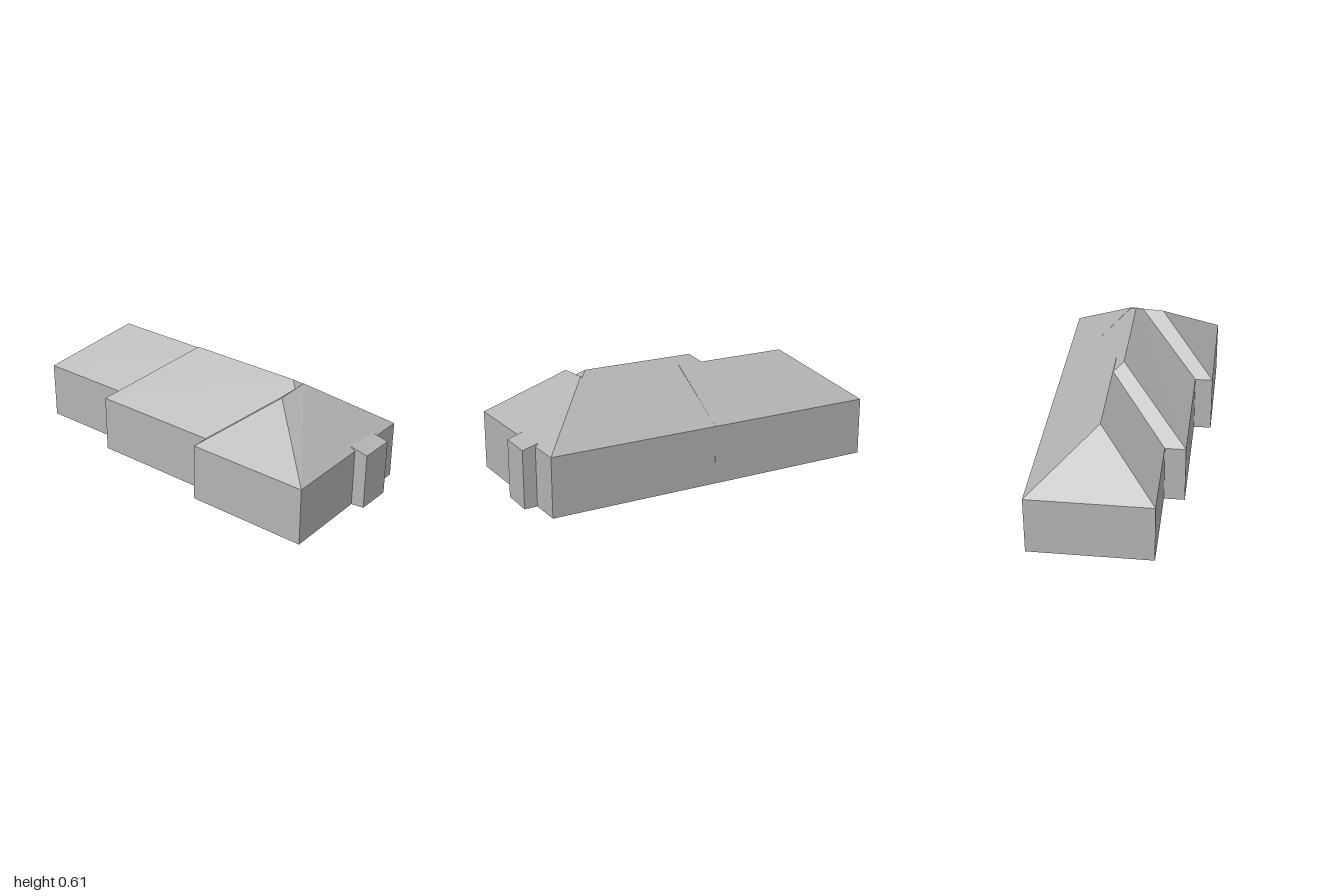
import * as THREE from 'three';

const EAVES = 0.317;
const wallGrey = new THREE.MeshStandardMaterial({ color: 0xb4b4b4, flatShading: true });
wallGrey.name = 'plain grey';

// Walled block with a hipped roof. Corners [x, z] run counter-clockwise from above;
// ridge point 0 belongs to the end between corners 3 and 0, point 1 to the end between 1 and 2.
function hippedBlock(name, corners, ridge, eaves = EAVES) {
  const low = corners.map(([x, z]) => [x, 0, z]);
  const top = corners.map(([x, z]) => [x, eaves, z]);
  const [r0, r1] = ridge;
  const pos = [];
  const tri = (a, b, c) => pos.push(...a, ...b, ...c);
  const quad = (a, b, c, d) => { tri(a, b, c); tri(a, c, d); };

  // walls and underside
  for (let i = 0; i < 4; i++) {
    const j = (i + 1) % 4;
    quad(low[i], low[j], top[j], top[i]);
  }
  quad(low[3], low[2], low[1], low[0]);

  // roof slopes and hip ends
  quad(top[0], top[1], r1, r0);
  tri(top[1], top[2], r1);
  quad(top[2], top[3], r0, r1);
  tri(top[3], top[0], r0);

  const geo = new THREE.BufferGeometry();
  geo.setAttribute('position', new THREE.Float32BufferAttribute(pos, 3));
  geo.computeVertexNormals();
  const mesh = new THREE.Mesh(geo, wallGrey);
  mesh.name = name;
  return mesh;
}

export function createModel() {
  const house = new THREE.Group();
  house.name = 'house';

  // low wing on the -x side, running into the middle block
  house.add(hippedBlock('lowWing',
    [[-1, 0.16], [0, 0.218], [0, -0.43], [-0.96, -0.485]],
    [[-0.66, 0.57, -0.125], [0, 0.57, -0.088]]));

  // long middle block with the highest ridge
  house.add(hippedBlock('middleBlock',
    [[-0.49, 0.30], [0.895, 0.385], [0.94, -0.375], [-0.445, -0.455]],
    [[-0.1, 0.607, -0.04], [0.53, 0.607, -0.005]]));

  // cross wing on the +x side, with its ridge running front to back
  house.add(hippedBlock('crossWing',
    [[0.89, 0.48], [0.94, -0.375], [0.265, -0.41], [0.22, 0.44]],
    [[0.56, 0.575, 0.15], [0.575, 0.585, -0.035]]));

  // small lean-to bay on the side wall
  house.add(hippedBlock('sideBay',
    [[0.985, 0.003], [1, -0.19], [0.88, -0.195], [0.88, 0.01]],
    [[0.89, 0.338, 0.008], [0.89, 0.338, -0.193]], 0.31));

  return house;
}
